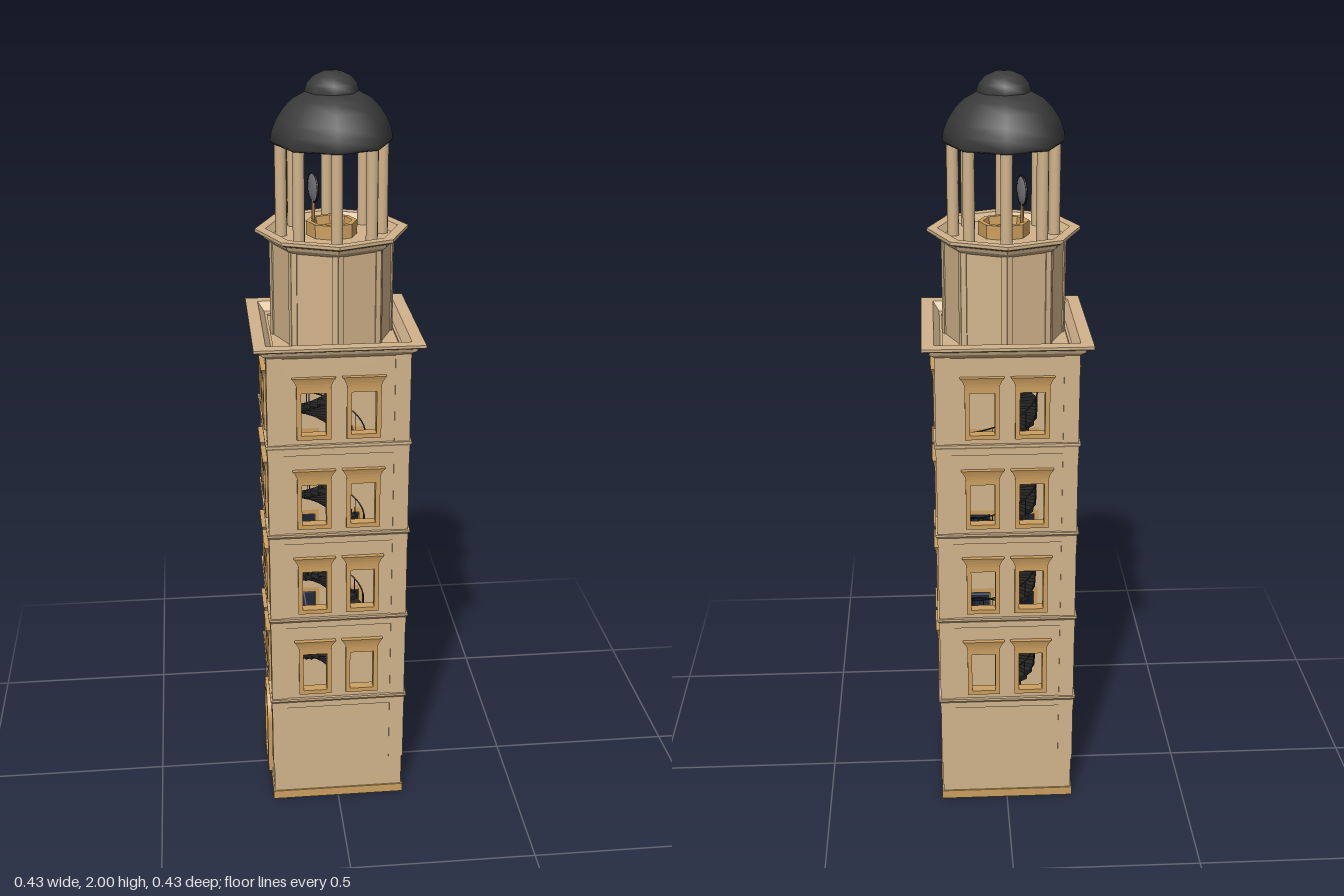
import * as THREE from 'three';
import { mergeGeometries } from 'three/addons/utils/BufferGeometryUtils.js';

const mat = (color, extra = {}) => new THREE.MeshStandardMaterial({ color, side: THREE.DoubleSide, ...extra });
const stone = mat(0xd2b48c, { flatShading: true });
const trim = mat(0xcda060, { flatShading: true });
const dark = mat(0x262626, { flatShading: true });
const domeMat = mat(0x3a3a3a);
const metal = mat(0x777777);
const HALF = 0.18, WALL = 0.02, PITCH = 0.254;
const FLOORS = [0, 1, 2, 3].map(i => 0.414 + i * PITCH); // window centre heights

function add(parent, name, geometry, material, x = 0, y = 0, z = 0) {
  const mesh = new THREE.Mesh(geometry, material);
  mesh.name = name;
  mesh.position.set(x, y, z);
  parent.add(mesh);
  return mesh;
}
const box = (w, h, d) => new THREE.BoxGeometry(w, h, d);
const vecs = pts => pts.map(p => new THREE.Vector2(...p));

// profile of (half width, y) swept round a square or an octagon
function squareLathe(pts) {
  return new THREE.LatheGeometry(vecs(pts.map(([r, y]) => [r * Math.SQRT2, y])), 4).rotateY(Math.PI / 4);
}
const octLathe = pts => new THREE.LatheGeometry(vecs(pts), 8);

function rectPath(x0, y0, x1, y1, Type = THREE.Path) {
  return new Type(vecs([[x0, y0], [x1, y0], [x1, y1], [x0, y1]]));
}
function archPath(r, spring, Type = THREE.Path) {
  const p = new Type();
  p.moveTo(-r, 0.025);
  p.lineTo(r, 0.025);
  p.lineTo(r, spring);
  p.absarc(0, spring, r, 0, Math.PI, false);
  p.closePath();
  return p;
}
const extrude = (shape, depth) => new THREE.ExtrudeGeometry(shape, { depth, bevelEnabled: false, curveSegments: 16 });

// hood moulding: a box that widens and projects towards its top
function flaredHood() {
  const g = new THREE.BoxGeometry(0.086, 0.034, 0.01, 1, 4, 1);
  const p = g.attributes.position;
  for (let i = 0; i < p.count; i++) {
    const t = (p.getY(i) + 0.017) / 0.034;
    const k = t * t;
    p.setX(i, p.getX(i) * (1 + 0.3 * k));
    if (p.getZ(i) > 0) p.setZ(i, p.getZ(i) + 0.006 * k);
  }
  return g;
}

function windowUnit(x, y) {
  const g = new THREE.Group();
  g.name = 'window';
  const frame = rectPath(-0.044, -0.068, 0.044, 0.073, THREE.Shape);
  frame.holes.push(rectPath(-0.032, -0.056, 0.032, 0.059));
  add(g, 'windowFrame', extrude(frame, 0.027), trim, 0, 0, HALF - WALL);
  add(g, 'windowHood', flaredHood(), trim, 0, 0.084, HALF + 0.002);
  g.position.set(x, y, 0);
  return g;
}

// one side of the shaft, facing +z before it is turned
function shaftSide(hasDoor) {
  const side = new THREE.Group();
  side.name = 'shaftSide';
  const wall = rectPath(-HALF + WALL, 0.02, HALF, 1.34, THREE.Shape);
  for (const y of FLOORS) for (const x of [-0.064, 0.064]) {
    wall.holes.push(rectPath(x - 0.044, y - 0.068, x + 0.044, y + 0.073));
    side.add(windowUnit(x, y));
  }
  if (hasDoor) {
    wall.holes.push(archPath(0.07, 0.19));
    const frame = archPath(0.085, 0.19, THREE.Shape);
    frame.holes.push(archPath(0.055, 0.19));
    add(side, 'doorFrame', extrude(frame, 0.032), trim, 0, 0, HALF - WALL);
    add(side, 'door', extrude(archPath(0.058, 0.19, THREE.Shape), 0.006), trim, 0, 0, HALF - WALL);
  }
  add(side, 'wall', extrude(wall, WALL), stone, 0, 0, HALF - WALL);
  return side;
}

function spiralStair() {
  const g = new THREE.Group();
  g.name = 'spiralStair';
  const R = 0.09, N = 24, d = Math.PI * 2 / N;
  const yBase = 1.19 - 4.5 * PITCH;
  const turnY = a => yBase + (a - Math.PI / 2) / (Math.PI * 2) * PITCH;
  const at = (a, lift) => new THREE.Vector3(R * Math.cos(a), turnY(a) + lift, -R * Math.sin(a));
  const a0 = Math.PI * 1.5, steps = Math.floor((1.32 - turnY(a0)) / (PITCH / N)) - 4;
  const wedge = new THREE.Shape(vecs([[0, 0], [R, 0], [R * Math.cos(d), R * Math.sin(d)]]));
  const treads = [], posts = [], rail = [];
  for (let i = 0; i < steps; i++) {
    const a = a0 + Math.PI + i * d;
    if (turnY(a) < 0.02) continue;
    treads.push(extrude(wedge, 0.014).rotateX(-Math.PI / 2).rotateY(a).translate(0, turnY(a) - 0.007, 0));
    const p = at(a + d / 2, 0.025);
    if (i % 2 === 0) posts.push(box(0.002, 0.05, 0.002).translate(p.x, p.y, p.z));
    rail.push(at(a + d / 2, 0.05));
  }
  add(g, 'treads', mergeGeometries(treads), dark);
  add(g, 'balusters', mergeGeometries(posts), dark);
  add(g, 'handrail', new THREE.TubeGeometry(new THREE.CatmullRomCurve3(rail), 260, 0.002, 5), dark);
  add(g, 'newel', new THREE.CylinderGeometry(0.012, 0.012, 1.31, 10), dark, 0, 0.675, 0);
  return g;
}

export function createModel() {
  const tower = new THREE.Group();
  tower.name = 'tower';

  // square shaft
  add(tower, 'plinth', box(0.368, 0.025, 0.368), trim, 0, 0.0125, 0);
  for (let i = 0; i < 4; i++) {
    const side = shaftSide(i === 3);
    side.rotation.y = i * Math.PI / 2;
    tower.add(side);
  }
  for (const x of [-1, 1]) for (const z of [-1, 1])
    add(tower, 'cornerPilaster', box(0.04, 1.22, 0.04), stone, x * 0.163, 0.73, z * 0.163);
  for (const y of FLOORS) {
    const b = y - 0.112;
    add(tower, 'stringCourse', squareLathe([[0.176, b], [0.184, b], [0.184, b + 0.018], [0.188, b + 0.024],
      [0.188, b + 0.03], [0.176, b + 0.03]]), stone);
  }
  tower.add(spiralStair());

  // cornice with sunken roof deck
  add(tower, 'shaftCornice', squareLathe([[0.178, 1.325], [0.187, 1.335], [0.194, 1.34], [0.197, 1.348],
    [0.207, 1.352], [0.215, 1.356], [0.215, 1.363], [0.183, 1.363], [0.163, 1.335], [0, 1.335]]), stone);

  // octagonal drum
  add(tower, 'drum', octLathe([[0.156, 1.335], [0.156, 1.585]]), stone);
  for (let i = 0; i < 8; i++) {
    const face = new THREE.Group();
    face.name = 'drumFace';
    face.rotation.y = (i + 0.5) * Math.PI / 4;
    for (const s of [-1, 1])
      add(face, 'drumPilaster', box(0.014, 0.25, 0.008), stone, s * 0.0535, 1.46, 0.1435);
    tower.add(face);
  }
  add(tower, 'drumCornice', octLathe([[0.154, 1.575], [0.165, 1.583], [0.172, 1.588], [0.176, 1.597],
    [0.187, 1.601], [0.195, 1.605], [0.195, 1.613], [0.168, 1.613], [0.155, 1.595], [0, 1.595]]), stone);

  // open lantern
  for (let i = 0; i < 8; i++) {
    const a = i * Math.PI / 4;
    add(tower, 'column', new THREE.CylinderGeometry(0.015, 0.015, 0.24, 12), mat(0xd2b48c),
      0.128 * Math.sin(a), 1.715, 0.128 * Math.cos(a));
  }
  add(tower, 'firePit', octLathe([[0.065, 1.595], [0.065, 1.63], [0.052, 1.63], [0.048, 1.608], [0, 1.608]]), trim);
  const mirror = new THREE.Group();
  mirror.name = 'mirror';
  mirror.position.set(-0.045, 1.71, -0.018);
  mirror.rotation.y = 0.25;
  add(mirror, 'mirrorDish', new THREE.SphereGeometry(0.036, 20, 12).scale(0.2, 1, 1), metal);
  add(mirror, 'mirrorRim', new THREE.TorusGeometry(0.036, 0.003, 6, 24).rotateY(Math.PI / 2), dark);
  add(mirror, 'mirrorStand', new THREE.CylinderGeometry(0.004, 0.006, 0.1, 8), trim, 0, -0.075, 0);
  tower.add(mirror);

  // faceted dome and cap
  add(tower, 'dome', octLathe([[0.135, 1.835], [0.146, 1.825], [0.153, 1.832], [0.149, 1.858], [0.138, 1.885],
    [0.12, 1.912], [0.097, 1.935], [0.065, 1.952], [0, 1.955]]), domeMat);
  add(tower, 'domeCap', octLathe([[0.064, 1.945], [0.068, 1.952], [0.062, 1.971], [0.047, 1.988],
    [0.025, 1.998], [0, 2]]), domeMat);
  return tower;
}
